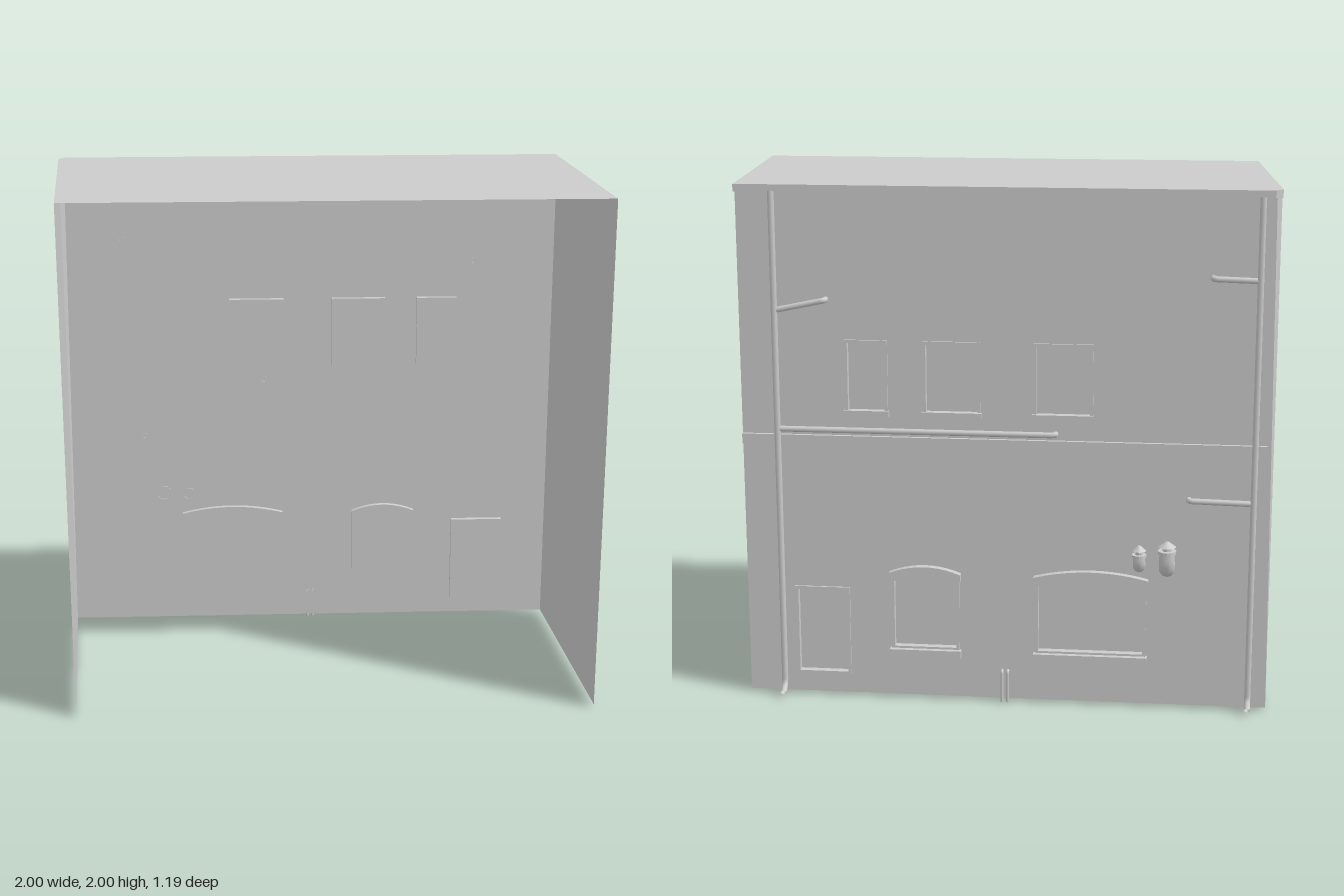
import * as THREE from 'three';

const mat = new THREE.MeshStandardMaterial({ color: 0xcccccc, side: THREE.DoubleSide });
const flat = new THREE.MeshStandardMaterial({ color: 0xcccccc, side: THREE.DoubleSide, flatShading: true });
const SLOPE = 0.07; // the back wall runs askew: z grows with x
const BASE = 0.012;
const TOP = 2;

function add(parent, name, geometry, material = flat, pos = [0, 0, 0]) {
  const mesh = new THREE.Mesh(geometry, material);
  mesh.name = name;
  mesh.position.set(...pos);
  parent.add(mesh);
  return mesh;
}

// flat polygon from corners listed around its edge
function polygon(corners) {
  const g = new THREE.BufferGeometry();
  g.setAttribute('position', new THREE.Float32BufferAttribute(corners.flat(), 3));
  const index = [];
  for (let i = 1; i < corners.length - 1; i++) index.push(0, i, i + 1);
  g.setIndex(index);
  g.computeVertexNormals();
  return g;
}

// opening outline, with a bowed head when rise > 0
function outline(PathType, x0, x1, y0, y1, rise = 0, grow = 0) {
  const p = new PathType();
  const a = x0 - grow, b = x1 + grow, t = y1 + grow;
  p.moveTo(a, y0 - grow);
  p.lineTo(b, y0 - grow);
  p.lineTo(b, t);
  if (rise) p.quadraticCurveTo((a + b) / 2, t + 2 * rise, a, t);
  else p.lineTo(a, t);
  p.closePath();
  return p;
}

function extrude(shape, z0, z1) {
  const g = new THREE.ExtrudeGeometry(shape, { depth: z1 - z0, bevelEnabled: false, curveSegments: 10 });
  return g.translate(0, 0, z0);
}

function box(x0, x1, y0, y1, z0, z1) {
  return new THREE.BoxGeometry(x1 - x0, y1 - y0, z1 - z0)
    .translate((x0 + x1) / 2, (y0 + y1) / 2, (z0 + z1) / 2);
}

// round pipe along straight runs with rounded corners
function pipe(points, r, bend = 0.02) {
  const v = points.map((p) => new THREE.Vector3(...p));
  const path = new THREE.CurvePath();
  let start = v[0];
  for (let i = 1; i < v.length; i++) {
    if (i === v.length - 1) {
      path.add(new THREE.LineCurve3(start, v[i]));
      break;
    }
    const before = v[i].clone().add(v[i - 1].clone().sub(v[i]).setLength(bend));
    const after = v[i].clone().add(v[i + 1].clone().sub(v[i]).setLength(bend));
    path.add(new THREE.LineCurve3(start, before));
    path.add(new THREE.QuadraticBezierCurve3(before, v[i], after));
    start = after;
  }
  return new THREE.TubeGeometry(path, 64, r, 10, false);
}

const openings = [
  { name: 'upperWindow', x0: -0.325, x1: -0.11, y0: 1.14, y1: 1.415, sill: true },
  { name: 'upperWindow', x0: 0.095, x1: 0.305, y0: 1.14, y1: 1.415, sill: true },
  { name: 'upperWindow', x0: 0.445, x1: 0.6, y0: 1.14, y1: 1.415, sill: true },
  { name: 'archedWindow', x0: -0.535, x1: -0.12, y0: 0.205, y1: 0.485, rise: 0.028 },
  { name: 'archedWindow', x0: 0.18, x1: 0.435, y0: 0.205, y1: 0.485, rise: 0.028 },
  { name: 'door', x0: 0.605, x1: 0.81, y0: 0.09, y1: 0.44 },
];

function buildOpening(parent, o) {
  const g = new THREE.Group();
  g.name = o.name;
  parent.add(g);
  const { x0, x1, y0, y1, rise = 0 } = o;
  // frame lines the recess, pane closes it on the inside
  const frame = outline(THREE.Shape, x0, x1, y0, y1, rise, 0.004);
  frame.holes.push(outline(THREE.Path, x0, x1, y0, y1, rise, -0.008));
  add(g, 'frame', extrude(frame, -0.008, 0.02));
  add(g, 'pane', new THREE.ShapeGeometry(outline(THREE.Shape, x0, x1, y0, y1, rise), 10), flat, [0, 0, 0.02]);
  if (o.sill) add(g, 'sill', box(x0 - 0.008, x1 + 0.008, y0 - 0.012, y0 + 0.01, -0.018, 0));
  if (rise) {
    add(g, 'sill', box(x0 - 0.01, x1 + 0.01, y0 - 0.03, y0, -0.027, 0));
    const hood = new THREE.Shape();
    const a = x0 - 0.01, b = x1 + 0.01, m = (x0 + x1) / 2;
    hood.moveTo(a, y1);
    hood.quadraticCurveTo(m, y1 + 2 * rise, b, y1);
    hood.lineTo(b, y1 + 0.03);
    hood.quadraticCurveTo(m, y1 + 0.03 + 2 * rise, a, y1 + 0.03);
    hood.closePath();
    add(g, 'hood', extrude(hood, -0.027, 0));
  }
}

// elbow vent rising from the wall with a conical rain cap
function buildVent(parent, x, y, out, r, top) {
  const g = new THREE.Group();
  g.name = 'vent';
  parent.add(g);
  add(g, 'elbow', pipe([[x, y, 0.004], [x, y, -out], [x, top - 0.035, -out]], r, Math.min(0.055, out * 0.75)), mat);
  add(g, 'collar', new THREE.CylinderGeometry(r * 1.15, r * 1.15, 0.01, 14), flat, [x, top - 0.04, -out]);
  add(g, 'neck', new THREE.CylinderGeometry(r * 0.6, r * 0.6, 0.02, 12), flat, [x, top - 0.026, -out]);
  add(g, 'cap', new THREE.CylinderGeometry(r * 0.2, r * 1.1, 0.02, 14), flat, [x, top - 0.01, -out]);
}

function buildBackWall() {
  // local frame: x along the wall, -z towards the outside
  const wall = new THREE.Group();
  wall.name = 'backWall';
  wall.position.z = -0.415;
  wall.rotation.y = -Math.atan(SLOPE);
  wall.scale.x = Math.hypot(1, SLOPE);

  const shape = new THREE.Shape();
  [[-1, BASE], [1, BASE], [1, TOP], [-0.98, TOP], [-0.98, 0.2]].forEach(([x, y], i) =>
    i ? shape.lineTo(x, y) : shape.moveTo(x, y));
  shape.closePath();
  openings.forEach((o) => shape.holes.push(outline(THREE.Path, o.x0, o.x1, o.y0, o.y1, o.rise)));
  add(wall, 'wallPanel', new THREE.ShapeGeometry(shape, 10));
  openings.forEach((o) => buildOpening(wall, o));

  // horizontal mouldings
  add(wall, 'cornice', box(-0.975, 1, 1.97, TOP - 0.001, -0.03, 0));
  add(wall, 'ledge', box(-0.975, 1, 1.01, 1.05, -0.014, 0));

  // drainpipes with kicked-out feet
  for (const x of [0.86, -0.93]) {
    add(wall, 'drainpipe', pipe([[x, 1.975, -0.026], [x, 0.045, -0.026], [x, 0.022, -0.06]], 0.012), mat);
  }
  // feeder pipes running from the wall to the drainpipes
  const feeders = [
    [0.86, 1.53, 0.67, 1.57],
    [-0.93, 1.67, -0.76, 1.675],
    [-0.93, 0.83, -0.69, 0.835],
    [0.86, 1.075, -0.19, 1.075],
  ];
  for (const [x0, y0, x1, y1] of feeders) {
    add(wall, 'feederPipe', pipe([[x0, y0, -0.022], [x1, y1, -0.022], [x1, y1, 0.003]], 0.011, 0.015), mat);
  }
  // pair of thin ground pipes
  for (const x of [-0.011, 0.011]) {
    add(wall, 'groundPipe', pipe([[x, 0, -0.012], [x, 0.125, -0.012], [x, 0.125, 0.004]], 0.006, 0.008), mat);
  }
  buildVent(wall, -0.615, 0.58, 0.105, 0.03, 0.7);
  buildVent(wall, -0.51, 0.575, 0.053, 0.024, 0.665);
  return wall;
}

export function createModel() {
  const model = new THREE.Group();
  model.name = 'building';
  const back = (x) => -0.415 + SLOPE * x;

  model.add(buildBackWall());

  // side walls
  add(model, 'leftWall', polygon([
    [1, BASE, 0.59], [1, BASE, back(1)], [1, TOP, back(1)], [1, TOP, 0.59]]));
  add(model, 'rightWall', polygon([
    [-1, BASE, 0.445], [-1, TOP, 0.445], [-1, TOP, -0.46], [-1, 0.2, -0.46], [-1, BASE, back(-1)]]));

  // chamfered corner that fades out near the ground
  add(model, 'cornerChamfer', polygon([
    [-1, BASE, back(-1)], [-1, 0.2, -0.46], [-1, TOP, -0.46],
    [-0.98, TOP, back(-0.98)], [-0.98, 0.2, back(-0.98)]]));
  add(model, 'corniceReturn', polygon([
    [-1, 1.97, -0.492], [-1, TOP, -0.492], [-0.972, TOP, -0.513], [-0.972, 1.97, -0.513]]));
  add(model, 'corniceSoffit', polygon([
    [-1, 1.97, -0.46], [-1, 1.97, -0.492], [-0.972, 1.97, -0.513], [-0.972, 1.97, -0.483]]));
  add(model, 'corniceEnd', polygon([
    [-1, 1.97, -0.46], [-1, TOP, -0.46], [-1, TOP, -0.492], [-1, 1.97, -0.492]]));

  // flat roof
  add(model, 'roof', polygon([
    [-1, TOP, 0.445], [1, TOP, 0.59], [1, TOP, -0.375], [-0.972, TOP, -0.513], [-1, TOP, -0.492]]));
  return model;
}
